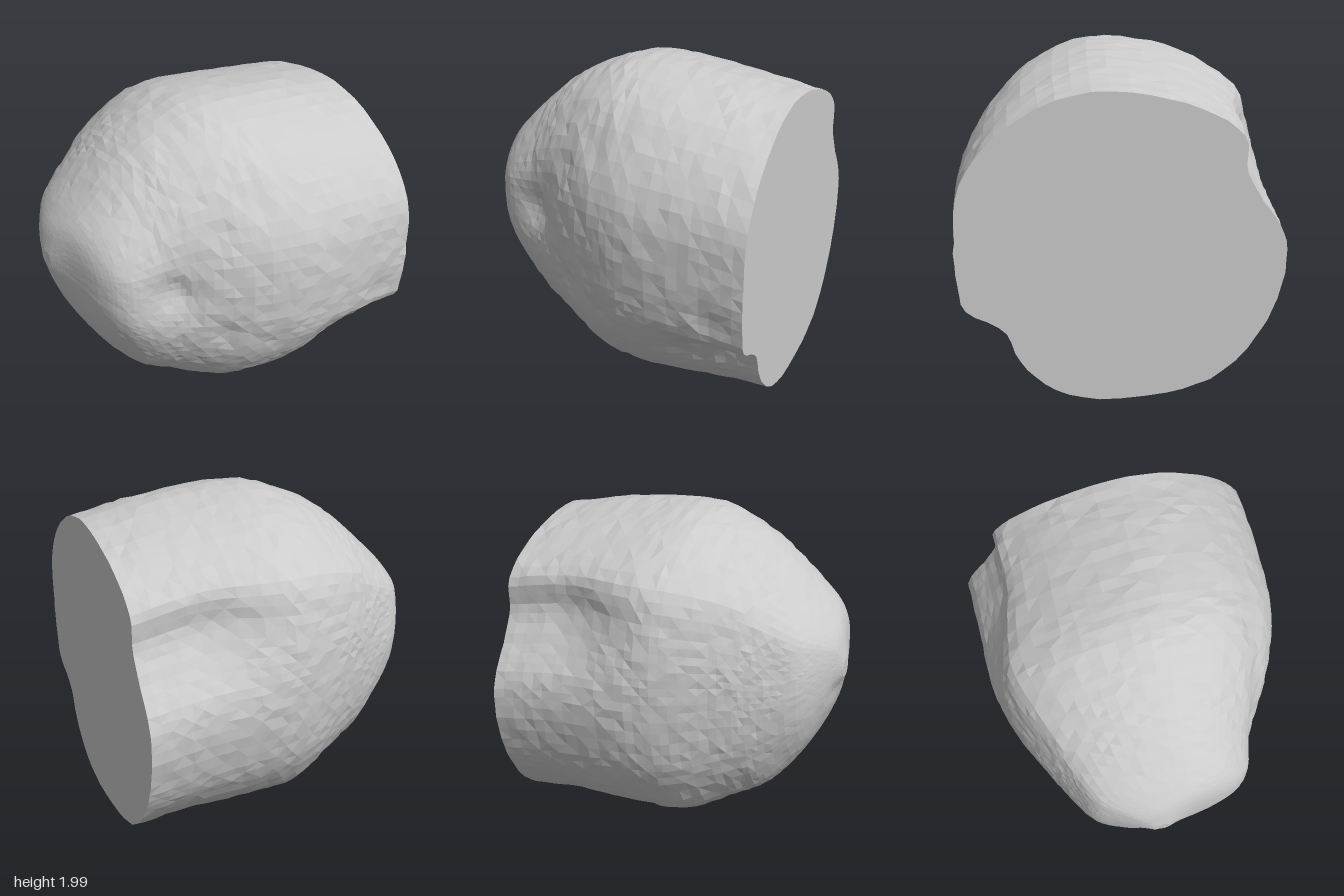
import * as THREE from 'three';

const SEGS = 76, RINGS = 52;

// Extent along the length: z, xMin, xMax, yMin, yMax (flat back to rounded front)
const EXTENT = [
  [-0.98, -0.95, 0.95, 0.01, 1.87],
  [-0.6, -0.95, 0.95, 0.03, 1.94],
  [-0.2, -0.95, 0.92, 0.03, 1.985],
  [0.1, -0.89, 0.82, 0.04, 1.98],
  [0.4, -0.76, 0.66, 0.19, 1.86],
  [0.6, -0.66, 0.55, 0.31, 1.72],
  [0.8, -0.55, 0.46, 0.58, 1.53],
  [0.9, -0.41, 0.31, 0.79, 1.42],
  [0.96, -0.29, 0.04, 0.96, 1.32],
  [1.0, -0.2, -0.1, 1.06, 1.18],
];

// Matching outlines in a -1..1 box: the rear one has a ledge and an undercut
const REAR = [
  [1, 0.1], [0.97, 0.4], [0.82, 0.67], [0.55, 0.88], [0.2, 1], [-0.2, 0.97], [-0.52, 0.86],
  [-0.73, 0.71], [-0.74, 0.5], [-0.85, 0.3], [-0.97, 0.12], [-1, -0.08], [-0.94, -0.38],
  [-0.84, -0.59], [-0.6, -0.85], [-0.3, -0.96], [0.17, -0.99], [0.46, -0.89], [0.63, -0.7],
  [0.73, -0.49], [0.95, -0.36], [0.99, -0.15],
];
const FRONT = [
  [1, 0.1], [0.96, 0.37], [0.8, 0.65], [0.56, 0.87], [0.2, 1], [-0.2, 0.98], [-0.55, 0.88],
  [-0.86, 0.68], [-0.95, 0.46], [-0.99, 0.28], [-1, 0.1], [-0.99, -0.1], [-0.94, -0.37],
  [-0.85, -0.58], [-0.61, -0.86], [-0.3, -0.97], [0.2, -1], [0.5, -0.92], [0.73, -0.74],
  [0.87, -0.55], [0.96, -0.35], [0.99, -0.15],
];

// Dents pressed towards the core: x, y, z, radius, depth
const DENTS = [
  [0.55, 1.08, 0.55, 0.15, 0.08],
  [0.58, 1.3, 0.4, 0.1, 0.04],
  [0.64, 1.45, 0.25, 0.1, 0.03],
  [0.66, 1.62, 0.05, 0.1, 0.02],
  [-0.2, 1.0, 0.95, 0.08, 0.02],
  [-0.55, 1.2, 0.68, 0.1, 0.02],
  [0.7, 0.72, 0.25, 0.11, 0.03],
  [0.82, 0.62, 0, 0.12, 0.02],
  [0.95, 0.74, -0.8, 0.1, 0.03],
];
const CORE = new THREE.Vector3(0, 1, -0.1);

function seeded(seed) {
  return () => {
    seed = (seed * 16807) % 2147483647;
    return seed / 2147483647;
  };
}

const { lerp, smoothstep } = THREE.MathUtils;
const loop = (pts) => new THREE.CatmullRomCurve3(
  pts.map(([x, y]) => new THREE.Vector3(x, y, 0)), true);
const rail = (ix, iy) => new THREE.CatmullRomCurve3(
  EXTENT.map((r) => new THREE.Vector3(r[ix], r[iy], r[0])), false, 'catmullrom');

function dent(p) {
  const inward = CORE.clone().sub(p).normalize();
  for (const [x, y, z, r, depth] of DENTS) {
    const d2 = (p.x - x) ** 2 + (p.y - y) ** 2 + (p.z - z) ** 2;
    p.addScaledVector(inward, depth * Math.exp(-d2 / (r * r)));
  }
}

function makeRings() {
  const rnd = seeded(71);
  const rear = loop(REAR), front = loop(FRONT);
  const low = rail(1, 3), high = rail(2, 4);
  const rings = [];
  for (let i = 0; i <= RINGS; i++) {
    const lo = low.getPoint(i / RINGS), hi = high.getPoint(i / RINGS);
    // The ledge reaches further forward than the undercut on the other side
    const ledgeFade = smoothstep(lo.z, -0.65, 0.08);
    const undercutFade = smoothstep(lo.z, -0.95, -0.2);
    // Slight roughness that dies out on the dense rings near the tip
    const rough = 0.011 * (1 - 0.9 * smoothstep(lo.z, 0.5, 0.95));
    const ring = [];
    for (let j = 0; j < SEGS; j++) {
      const s = rear.getPoint(j / SEGS);
      s.lerp(front.getPoint(j / SEGS), s.x < 0 ? ledgeFade : undercutFade);
      const p = new THREE.Vector3(
        lerp(lo.x, hi.x, (s.x + 1) / 2), lerp(lo.y, hi.y, (s.y + 1) / 2), lo.z);
      dent(p);
      p.sub(CORE).multiplyScalar(1 + (rnd() - 0.5) * rough).add(CORE);
      if (i === 0) p.z = lo.z;
      p.y = Math.max(p.y, 0);
      ring.push(p);
    }
    rings.push(ring);
  }
  return rings;
}

function toGeometry(points, index) {
  const g = new THREE.BufferGeometry().setFromPoints(points);
  g.setIndex(index);
  g.computeVertexNormals();
  return g;
}

// Closes a ring with a fan around its middle
function fan(ring, facesBack) {
  const mid = new THREE.Vector3();
  ring.forEach((p) => mid.addScaledVector(p, 1 / ring.length));
  const index = [];
  for (let j = 0; j < SEGS; j++) {
    const k = (j + 1) % SEGS;
    index.push(SEGS, ...(facesBack ? [k, j] : [j, k]));
  }
  return toGeometry([...ring, mid], index);
}

export function createModel() {
  const group = new THREE.Group();
  const material = new THREE.MeshStandardMaterial({ color: 0xcccccc, flatShading: true });
  const add = (name, geometry) => {
    const mesh = new THREE.Mesh(geometry, material);
    mesh.name = name;
    group.add(mesh);
  };
  const rings = makeRings();

  // Rounded body skinned over the rings
  const index = [];
  for (let i = 0; i < RINGS; i++) {
    for (let j = 0; j < SEGS; j++) {
      const k = (j + 1) % SEGS;
      const a = i * SEGS + j, b = i * SEGS + k, c = a + SEGS, d = b + SEGS;
      if ((i + j) % 2) index.push(a, b, c, b, d, c);
      else index.push(a, b, d, a, d, c);
    }
  }
  add('roundedBody', toGeometry(rings.flat(), index));

  // Flat cut at the back and the blunt tip at the front
  add('flatBack', fan(rings[0], true));
  add('frontTip', fan(rings[RINGS], false));
  return group;
}
